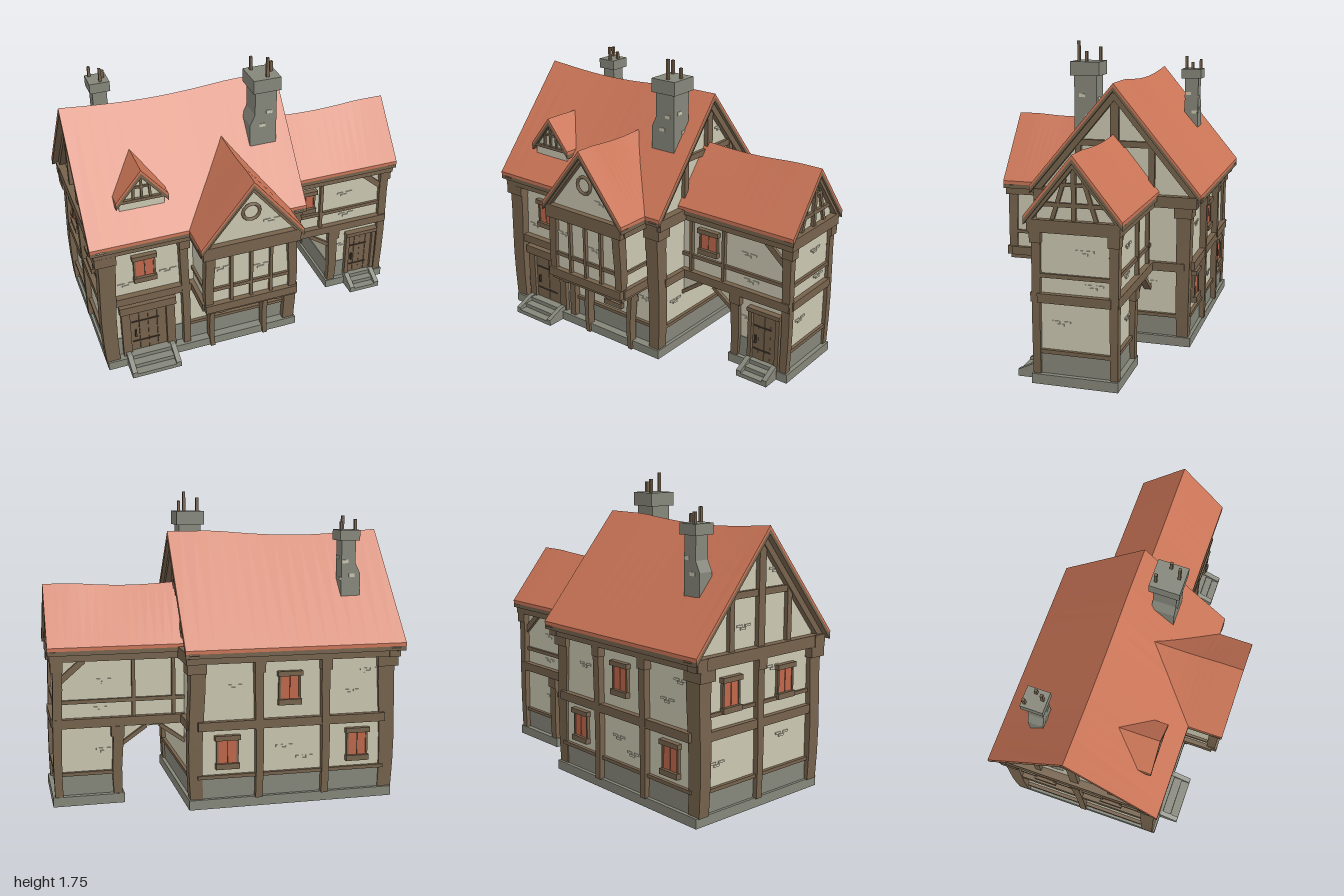
import * as THREE from 'three';

const mat = (name, color) => Object.assign(new THREE.MeshStandardMaterial({ color }), { name });

export function createModel() {
  const roofRed = mat('roof tile', 0xcb7557), plaster = mat('plaster', 0xcac6b0), timber = mat('timber', 0x75624c);
  const stone = mat('stone', 0x85867a), shutter = mat('shutter', 0xbf674b), dark = mat('dark iron', 0x463a2e);
  const root = new THREE.Group();
  root.name = 'timberHouse';

  const add = (parent, name, geo, m, x = 0, y = 0, z = 0) => {
    const mesh = new THREE.Mesh(geo, m);
    mesh.name = name;
    mesh.position.set(x, y, z);
    parent.add(mesh);
    return mesh;
  };
  const box = (p, name, m, x0, x1, y0, y1, z0, z1) =>
    add(p, name, new THREE.BoxGeometry(x1 - x0, y1 - y0, z1 - z0), m, (x0 + x1) / 2, (y0 + y1) / 2, (z0 + z1) / 2);
  const extrude = (pts, depth, steps = 1) => new THREE.ExtrudeGeometry(
    new THREE.Shape(pts.map(p => new THREE.Vector2(...p))), { depth, steps, bevelEnabled: false });
  // A wall plane: local x runs along the wall, local z points outward
  const face = (name, x, z, ry) => {
    const g = new THREE.Group();
    g.name = name;
    g.position.set(x, 0, z);
    g.rotation.y = ry;
    root.add(g);
    return g;
  };
  // Straight timber between two points of a wall plane
  const stick = (f, u1, v1, u2, v2, w = 0.03, d = 0.025, name = 'beam', m = timber) => {
    const geo = new THREE.BoxGeometry(Math.hypot(u2 - u1, v2 - v1), w, d + 0.02);
    const mesh = add(f, name, geo, m, (u1 + u2) / 2, (v1 + v2) / 2, d / 2 - 0.01);
    mesh.rotation.z = Math.atan2(v2 - v1, u2 - u1);
    return mesh;
  };
  // Slightly crooked upright, narrower at the foot
  const post = (p, x, z, y0, y1, w, d, bend = 0.008, cap = true) => {
    const h = y1 - y0, geo = new THREE.BoxGeometry(w, h, d, 1, 5, 1), a = geo.attributes.position;
    for (let i = 0; i < a.count; i++) {
      const t = a.getY(i) / h + 0.5, k = 0.82 + 0.18 * t;
      a.setX(i, a.getX(i) * k + bend * Math.sin(t * 5));
      a.setZ(i, a.getZ(i) * k);
    }
    geo.computeVertexNormals();
    add(p, 'post', geo, timber, x, (y0 + y1) / 2, z);
    if (cap) box(p, 'postCap', timber, x - w * 0.62, x + w * 0.62, y1 - 0.06, y1, z - d * 0.62, z + d * 0.62);
  };
  const ring = (name, m, x0, x1, z0, z1, y0, y1, t) => {
    box(root, name, m, x0, x1, y0, y1, z1 - t, z1);
    box(root, name, m, x0, x1, y0, y1, z0, z0 + t);
    box(root, name, m, x0, x0 + t, y0, y1, z0 + t, z1 - t);
    box(root, name, m, x1 - t, x1, y0, y1, z0 + t, z1 - t);
  };
  const shutters = (f, u, v, h = 0.15) => {
    for (const s of [-1, 1]) {
      box(f, 'shutter', shutter, u + s * 0.028 - 0.025, u + s * 0.028 + 0.025, v - h / 2, v + h / 2, 0, 0.012);
      stick(f, u + s * 0.058, v - h / 2, u + s * 0.058, v + h / 2, 0.012, 0.018, 'windowJamb');
    }
    stick(f, u, v - h / 2, u, v + h / 2, 0.006, 0.008, 'windowGap', dark);
    stick(f, u - 0.073, v + h / 2 + 0.008, u + 0.073, v + h / 2 + 0.008, 0.028, 0.03, 'lintel');
    stick(f, u - 0.068, v - h / 2 - 0.005, u + 0.068, v - h / 2 - 0.005, 0.032, 0.03, 'sill');
  };
  const door = (f, u, w, y1, frame) => {
    for (let i = 0; i < 4; i++) {
      const a = u - w / 2 + (i * w) / 4;
      box(f, 'doorPlank', timber, a + 0.001, a + w / 4 - 0.001, 0.05, y1, 0, 0.012 + 0.002 * (i % 2));
    }
    for (const v of [0.14, 0.29]) stick(f, u - w * 0.45, v, u + w * 0.3, v, 0.008, 0.018, 'hinge', dark);
    stick(f, u - w * 0.36, 0.18, u - w * 0.36, 0.23, 0.01, 0.025, 'handle', dark);
    for (const s of [-1, 1]) stick(f, u + s * (w + frame) / 2, 0.03, u + s * (w + frame) / 2, y1, frame, 0.03, 'doorJamb');
    stick(f, u - w / 2 - frame * 1.15, y1 + frame / 2, u + w / 2 + frame * 1.15, y1 + frame / 2, frame, 0.04, 'doorLintel');
  };
  const bricks = (f, ...spots) => spots.forEach(([u, v]) => {
    [[0, 0], [0.035, 0.015], [-0.025, 0.015]].forEach(([a, b]) =>
      box(f, 'bareBrick', plaster, u + a - 0.02, u + a + 0.02, v + b - 0.006, v + b + 0.006, -0.005, 0.005));
  });

  // Gabled volume along local z: walls, timber lining and tiles with a sagging ridge
  const gabled = (name, x, z, ry, o) => {
    const g = face(name, x, z, ry), s = (o.ridge - o.eave) / o.half;
    const chevron = (drop, t) => [[o.half, o.eave - drop], [0, o.ridge - drop], [-o.half, o.eave - drop],
      [-o.half, o.eave - drop - t], [0, o.ridge - drop - t], [o.half, o.eave - drop - t]];
    for (const [n, drop, t, m] of [['tiles', 0, 0.02, roofRed], ['roofLining', 0.02, 0.025, timber]]) {
      const geo = extrude(chevron(drop, t), o.z1 - o.z0, 16), a = geo.attributes.position;
      for (let i = 0; i < a.count; i++) {
        const k = THREE.MathUtils.clamp((a.getY(i) - o.eave) / (o.ridge - o.eave), 0, 1);
        const q = Math.min(1, a.getZ(i) / (o.z1 - o.z0) / 0.78);
        a.setY(i, a.getY(i) - (o.sag || 0) * k * Math.sin(Math.PI * q));
      }
      geo.computeVertexNormals();
      add(g, n, geo, m, 0, 0, o.z0);
    }
    const top = o.ridge - 0.05 - (o.sag || 0) * 0.6, w = o.wall;
    add(g, 'plasterWall', extrude([[-w, o.bottom], [w, o.bottom], [w, top - s * w], [0, top], [-w, top - s * w]],
      o.w1 - o.w0), plaster, 0, 0, o.w0);
  };
  const rafters = (f, half, eave, ridge, w = 0.035, d = 0.022) => {
    for (const s of [-1, 1]) stick(f, s * half, eave, 0, ridge, w, d, 'rafter');
  };

  gabled('mainRoofAndUpperFloor', 0, -0.1, Math.PI / 2,
    { half: 0.515, ridge: 1.53, eave: 0.912, z0: -1, z1: 0.28, sag: 0.03, wall: 0.435, bottom: 0.44, w0: -0.93, w1: 0.225 });
  gabled('wingRoofAndUpperFloor', 0, -0.095, Math.PI / 2,
    { half: 0.266, ridge: 1.24, eave: 0.912, z0: 0.2, z1: 1, sag: 0.016, wall: 0.205, bottom: 0.44, w0: 0.2, w1: 0.955 });
  gabled('bayRoofAndWalls', -0.128, 0, 0,
    { half: 0.305, ridge: 1.29, eave: 0.912, z0: 0.05, z1: 0.62, sag: 0.012, wall: 0.265, bottom: 0.44, w0: 0.2, w1: 0.575 });
  gabled('dormer', -0.663, 0, 0,
    { half: 0.15, ridge: 1.3, eave: 1.118, z0: 0.05, z1: 0.315, wall: 0.13, bottom: 1.03, w0: 0.1, w1: 0.295 });

  // Ground floor shells and floors
  ring('lowerWall', plaster, -0.93, 0.225, -0.535, 0.335, 0.18, 0.44, 0.03);
  ring('stoneWall', stone, -0.934, 0.229, -0.539, 0.339, 0.05, 0.18, 0.034);
  ring('plinth', stone, -0.95, 0.25, -0.56, 0.39, 0, 0.055, 0.07);
  box(root, 'floor', timber, -0.9, 0.2, 0.42, 0.44, -0.51, 0.31);
  ring('wingLowerWall', plaster, 0.6, 0.955, -0.3, 0.11, 0.18, 0.44, 0.03);
  ring('wingStoneWall', stone, 0.596, 0.959, -0.304, 0.114, 0.05, 0.18, 0.034);
  ring('wingPlinth', stone, 0.58, 0.985, -0.335, 0.14, 0, 0.055, 0.06);
  box(root, 'wingFloor', timber, 0.62, 0.94, 0.42, 0.44, -0.28, 0.09);
  // Covered passage
  add(root, 'passageVault', extrude([[0.225, 0.45], [0.225, 0.34], [0.36, 0.435], [0.46, 0.435], [0.6, 0.34], [0.6, 0.45]], 0.41),
    plaster, 0, 0, -0.3);

  // Main corner posts
  for (const [x, w] of [[-0.915, 0.1], [0.205, 0.088]]) for (const z of [0.343, -0.51]) {
    post(root, x, z, 0.05, 0.83, w, 0.085, x < 0 ? -0.008 : 0.008);
  }
  // Main front
  const front = face('mainFront', 0, 0.335, 0);
  stick(front, -0.98, 0.862, 0.25, 0.862, 0.066, 0.06, 'topBeam');
  stick(front, -0.89, 0.475, 0.2, 0.475, 0.05, 0.04, 'floorBeam');
  stick(front, -0.43, 0.18, 0.18, 0.18, 0.02, 0.02, 'sillRail');
  post(front, -0.455, 0.015, 0.05, 0.83, 0.05, 0.06, 0.004);
  for (const x of [-0.3, 0.04]) post(front, x, 0.045, 0, 0.43, 0.034, 0.06, -0.008);
  shutters(front, -0.685, 0.675, 0.14);
  shutters(front, -0.128, 0.315);
  door(front, -0.685, 0.22, 0.375, 0.052);
  bricks(front, [-0.8, 0.56], [-0.55, 0.6], [-0.22, 0.24], [0.1, 0.33]);
  // Main back
  const back = face('mainBack', 0, -0.535, Math.PI);
  stick(back, -0.25, 0.862, 0.98, 0.862, 0.066, 0.05, 'topBeam');
  stick(back, -0.2, 0.475, 0.9, 0.475, 0.05, 0.035, 'floorBeam');
  stick(back, -0.2, 0.18, 0.9, 0.18, 0.02, 0.02, 'sillRail');
  for (const u of [0.15, 0.54]) post(back, u, 0.012, 0.05, 0.83, 0.05, 0.055, 0.004);
  shutters(back, 0.33, 0.67);
  shutters(back, -0.03, 0.32);
  shutters(back, 0.74, 0.32);
  bricks(back, [0.3, 0.32], [0.0, 0.68], [0.7, 0.62], [0.42, 0.25], [0.8, 0.74]);
  // Main gable ends
  for (const [x, ry] of [[0.225, Math.PI / 2], [-0.93, -Math.PI / 2]]) {
    const f = face('mainGable', x, -0.1, ry);
    rafters(f, 0.5, 0.87, 1.47, 0.05, 0.034);
    stick(f, -0.49, 0.862, 0.49, 0.862, 0.066, 0.045, 'topBeam');
    stick(f, -0.42, 0.475, 0.42, 0.475, 0.05, 0.03, 'floorBeam');
    stick(f, -0.42, 0.18, 0.42, 0.18, 0.02, 0.02, 'sillRail');
    stick(f, -0.23, 1.18, 0.23, 1.18, 0.036, 0.02, 'collar');
    stick(f, -0.05, 1.41, 0.05, 1.41, 0.025, 0.02, 'topCollar');
    stick(f, 0, 0.88, 0, 1.46, 0.05, 0.026, 'kingPost');
    for (const s of [-1, 1]) {
      stick(f, s * 0.22, 0.88, s * 0.22, 1.18, 0.035, 0.024, 'gableStud');
      if (x < 0) shutters(f, s * 0.21, 0.67);
    }
    if (x < 0) {
      post(f, 0, 0.01, 0.05, 0.83, 0.05, 0.05, 0.005);
      stick(f, -0.42, 0.58, 0.42, 0.58, 0.02, 0.014, 'rail');
    }
    bricks(f, [-0.3, 0.3], [0.2, 0.36], [0.12, 0.75], [-0.12, 1.0], [0.12, 1.28]);
  }

  // Bay: front timbers, ring ornament, sides and brackets
  const bay = face('bayFront', -0.128, 0.575, 0);
  rafters(bay, 0.295, 0.88, 1.24, 0.028, 0.034);
  stick(bay, -0.29, 0.867, 0.29, 0.867, 0.08, 0.036, 'topBeam');
  stick(bay, -0.28, 0.475, 0.28, 0.475, 0.052, 0.034, 'floorBeam');
  stick(bay, -0.26, 0.595, 0.26, 0.595, 0.022, 0.014, 'rail');
  for (const u of [-0.12, 0, 0.12]) stick(bay, u, 0.49, u, 0.84, 0.018, 0.02, 'mullion');
  for (const s of [-1, 1]) post(bay, s * 0.25, -0.005, 0.45, 0.84, 0.055, 0.06, s * 0.006, false);
  add(bay, 'ringOrnament', new THREE.TorusGeometry(0.05, 0.01, 6, 12), timber, 0, 1.075, 0.005);
  bricks(bay, [0.06, 0.68], [-0.18, 0.72], [0.12, 0.98]);
  for (const [x, ry] of [[0.137, Math.PI / 2], [-0.393, -Math.PI / 2]]) {
    const f = face('baySide', x, 0.46, ry);
    stick(f, -0.12, 0.867, 0.12, 0.867, 0.075, 0.03, 'topBeam');
    stick(f, -0.12, 0.475, 0.12, 0.475, 0.05, 0.026, 'floorBeam');
    stick(f, -0.12, 0.595, 0.12, 0.595, 0.02, 0.014, 'rail');
  }
  box(root, 'bayFloor', timber, -0.4, 0.145, 0.425, 0.45, 0.32, 0.59);
  for (const x of [-0.3, 0.04]) {
    add(root, 'bayBracket', extrude([[0.33, 0.43], [0.33, 0.3], [0.39, 0.33], [0.41, 0.37], [0.46, 0.405], [0.585, 0.415], [0.59, 0.43]], 0.034),
      timber, x + 0.017, 0, 0).rotation.y = -Math.PI / 2;
  }
  // Dormer front
  const dormer = face('dormerFront', -0.663, 0.295, 0);
  rafters(dormer, 0.14, 1.1, 1.265, 0.02, 0.018);
  stick(dormer, -0.145, 1.112, 0.145, 1.112, 0.018, 0.018, 'tieBeam');
  stick(dormer, -0.08, 1.19, 0.08, 1.19, 0.013, 0.01, 'collar');
  for (const u of [-0.05, 0, 0.05]) stick(dormer, u, 1.11, u * 0.9, 1.265 - Math.abs(u) * 1.2, 0.013, 0.012, 'stud');

  // Wing corner posts
  for (const z of [0.113, -0.31]) {
    post(root, 0.95, z, 0.05, 0.83, 0.055, 0.05, 0.005);
    post(root, 0.615, z, 0.05, 0.45, 0.06, 0.05, 0.005);
  }
  // Wing front and back share their framing; m mirrors it along the wall
  for (const [z, ry, m] of [[0.11, 0, 1], [-0.3, Math.PI, -1]]) {
    const f = face('wingLongSide', 0, z, ry);
    const bar = (u1, v1, u2, v2, w, d, n) => stick(f, m * u1, v1, m * u2, v2, w, d, n);
    bar(0.22, 0.862, 0.985, 0.862, 0.066, 0.045, 'topBeam');
    bar(0.22, 0.475, 0.975, 0.475, 0.052, 0.035, 'floorBeam');
    bar(0.22, 0.595, 0.95, 0.595, 0.022, 0.016, 'rail');
    for (const u of [0.29, 0.52]) bar(u, 0.49, u, 0.84, 0.02, 0.022, 'stud');
    bar(0.8, 0.83, 0.95, 0.7, 0.035, 0.018, 'brace');
    bar(0.225, 0.335, 0.37, 0.44, 0.022, 0.02, 'archBrace');
    bar(0.6, 0.335, 0.45, 0.44, 0.022, 0.02, 'archBrace');
    if (m > 0) {
      shutters(f, 0.412, 0.71, 0.115);
      door(f, 0.815, 0.16, 0.38, 0.025);
    } else bar(0.62, 0.18, 0.94, 0.18, 0.02, 0.02, 'sillRail');
    bricks(f, [m * 0.68, 0.7], [m * 0.7, 0.54], [m * 0.69, 0.3]);
  }
  // Wing gable end
  const end = face('wingGable', 0.955, -0.095, Math.PI / 2);
  rafters(end, 0.255, 0.88, 1.19, 0.03, 0.032);
  stick(end, -0.25, 0.862, 0.25, 0.862, 0.068, 0.034, 'topBeam');
  stick(end, -0.2, 0.475, 0.2, 0.475, 0.05, 0.03, 'floorBeam');
  stick(end, -0.2, 0.595, 0.2, 0.595, 0.022, 0.016, 'rail');
  stick(end, -0.2, 0.18, 0.2, 0.18, 0.022, 0.018, 'sillRail');
  stick(end, -0.19, 0.975, 0.19, 0.975, 0.022, 0.018, 'collar');
  stick(end, -0.09, 1.08, 0.09, 1.08, 0.018, 0.016, 'upperCollar');
  stick(end, 0, 0.89, 0, 1.18, 0.024, 0.02, 'kingPost');
  for (const s of [-1, 1]) stick(end, s * 0.12, 0.89, s * 0.05, 1.11, 0.022, 0.014, 'gableStud');
  bricks(end, [0.05, 0.72], [-0.08, 0.33], [0.1, 0.54]);

  // Door steps with sloping side slabs
  const steps = (x0, x1, z, depth, h) => {
    for (let i = 0; i < 3; i++) {
      box(root, 'step', stone, x0 + 0.02, x1 - 0.02, 0, (h * (i + 1)) / 3, z, z + depth * (1 - i / 3));
    }
    for (const x of [x0 + 0.03, x1]) {
      add(root, 'stepSide', extrude([[0, 0], [depth, 0], [depth, h * 0.5], [depth * 0.3, h * 1.1], [0, h * 1.1]], 0.03),
        stone, x, 0, z).rotation.y = -Math.PI / 2;
    }
  };
  steps(-0.835, -0.535, 0.35, 0.155, 0.075);
  steps(0.71, 0.915, 0.11, 0.135, 0.075);

  // Chimneys: stack with a flared foot, cap and three thin flues
  const chimney = (x, z, w, d, y0, y1, cap, flues) => {
    const g = face('chimney', x, z, 0), r = w / 2, mid = y0 + (y1 - y0) * 0.5;
    add(g, 'stack', extrude([[-r - 0.03, y0], [r, y0], [r, y1], [-r, y1], [-r, mid + 0.04], [-r - 0.03, mid - 0.02]], d),
      stone, 0, 0, -d / 2);
    box(g, 'cap', stone, -r - 0.017, r + 0.017, y1, y1 + cap, -d / 2 - 0.02, d / 2 + 0.02);
    for (const [u, v, h] of flues) box(g, 'flue', timber, u - 0.008, u + 0.008, y1 + cap, h, v - 0.008, v + 0.008);
    for (const s of [-1, 1]) {
      box(g, 'paleStone', plaster, s * 0.02 - 0.018, s * 0.02 + 0.018, mid + s * 0.04, mid + s * 0.04 + 0.02, -d / 2 - 0.004, d / 2 + 0.004);
      box(g, 'paleStone', plaster, r - 0.01, r + 0.004, mid + s * 0.06, mid + s * 0.06 + 0.02, s * 0.02 - 0.018, s * 0.02 + 0.018);
    }
  };
  chimney(0.12, 0.092, 0.13, 0.135, 1.19, 1.56, 0.08, [[-0.045, -0.06, 1.72], [0.01, 0.055, 1.755], [0.055, -0.005, 1.7]]);
  chimney(-0.722, -0.356, 0.085, 0.088, 1.14, 1.48, 0.06, [[-0.035, -0.045, 1.6], [0.01, 0.04, 1.62], [0.035, -0.005, 1.585]]);
  return root;
}
